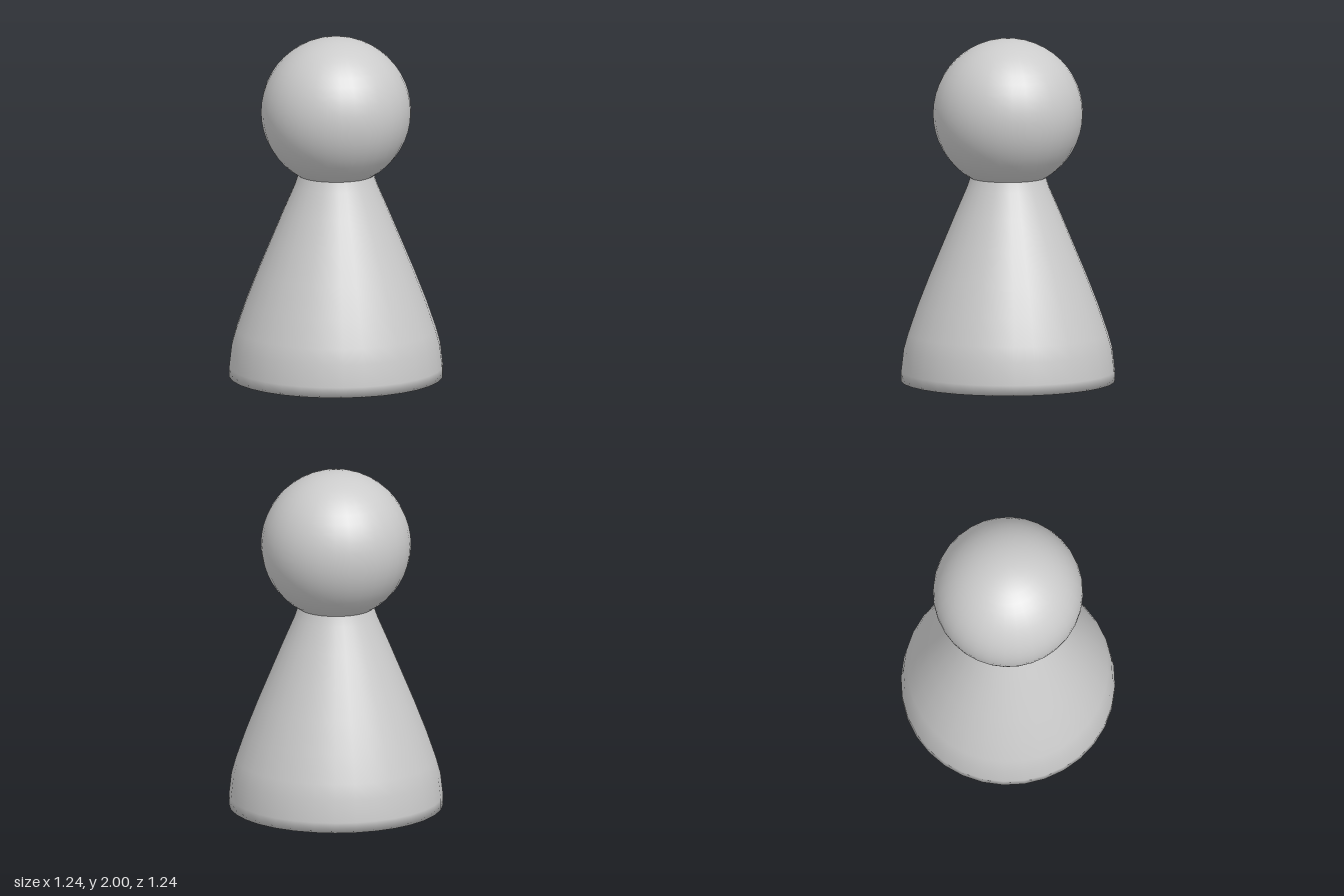
import * as THREE from 'three';

const SEGMENTS = 32;

export function createModel() {
  const group = new THREE.Group();
  const material = new THREE.MeshStandardMaterial({ color: 0xcccccc });

  const add = (name, geometry, y = 0) => {
    const mesh = new THREE.Mesh(geometry, material);
    mesh.name = name;
    mesh.position.y = y;
    group.add(mesh);
  };

  // Flared body: flat underside, soft rim, slightly bowed cone up to the neck
  const profile = [
    [0, 0], [0.62, 0], [0.62, 0.06], [0.605, 0.19], [0.58, 0.28], [0.525, 0.44],
    [0.455, 0.62], [0.38, 0.8], [0.305, 0.98], [0.24, 1.13], [0.22, 1.19], [0.21, 1.22],
  ].map(([r, y]) => new THREE.Vector2(r, y));
  add('body', new THREE.LatheGeometry(profile, SEGMENTS));

  // Round head resting on the neck
  add('head', new THREE.SphereGeometry(0.435, SEGMENTS, 24), 1.565);

  return group;
}
